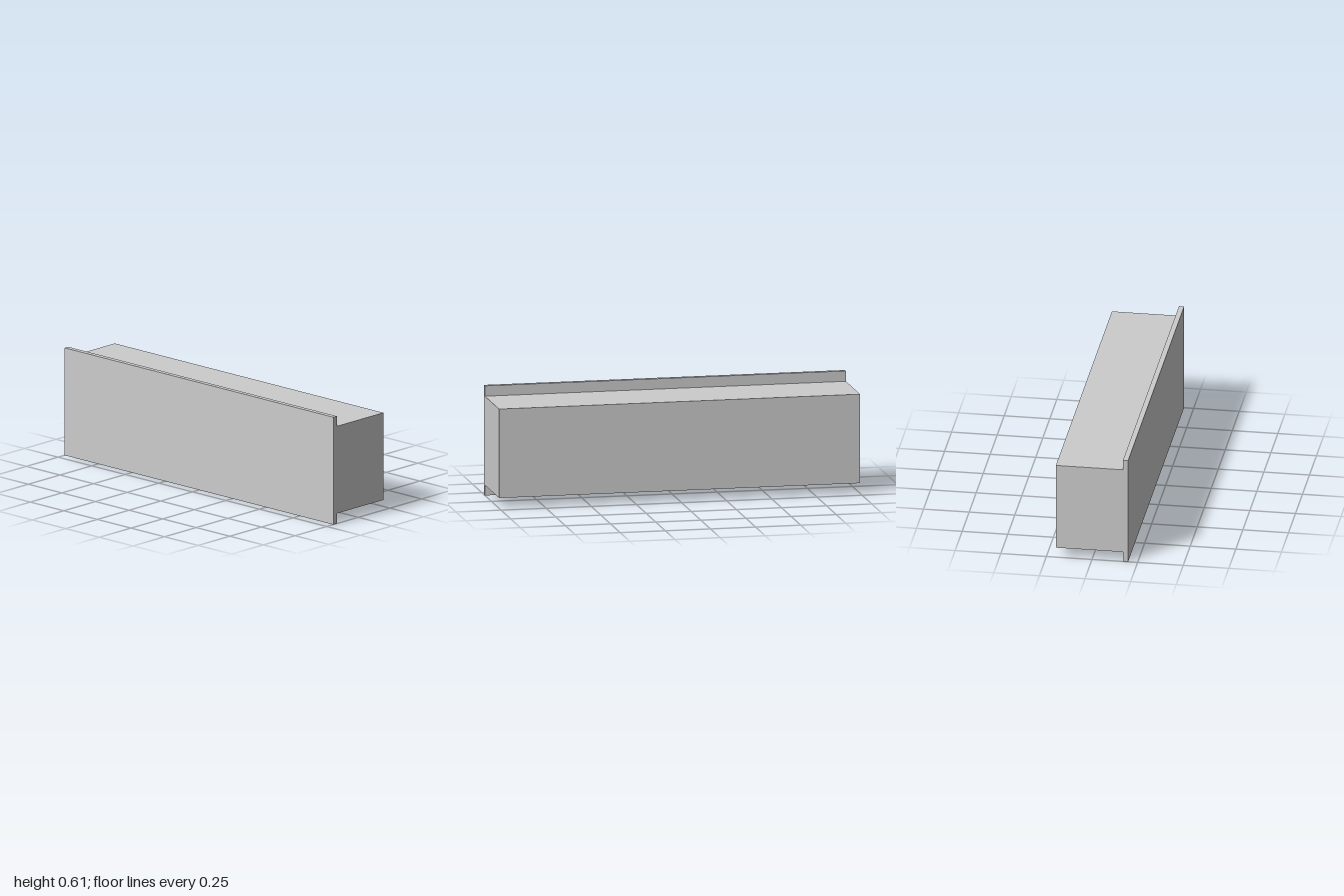
import * as THREE from 'three';

const WIDTH = 2;

// Full-width box spanning the given heights and depths
function addSlab(group, name, y0, y1, z0, z1, material) {
  const mesh = new THREE.Mesh(new THREE.BoxGeometry(WIDTH, y1 - y0, z1 - z0), material);
  mesh.position.set(0, (y0 + y1) / 2, (z0 + z1) / 2);
  mesh.name = name;
  group.add(mesh);
}

export function createModel() {
  const group = new THREE.Group();
  group.name = 'drawer';
  const grey = new THREE.MeshStandardMaterial({ color: 0xcccccc });

  // Thin front panel, overhanging the body above and below
  addSlab(group, 'frontPanel', 0, 0.605, 0.17, 0.198, grey);
  // Solid body behind it, flush with the panel at both ends
  addSlab(group, 'body', 0.057, 0.548, -0.198, 0.17, grey);

  return group;
}
